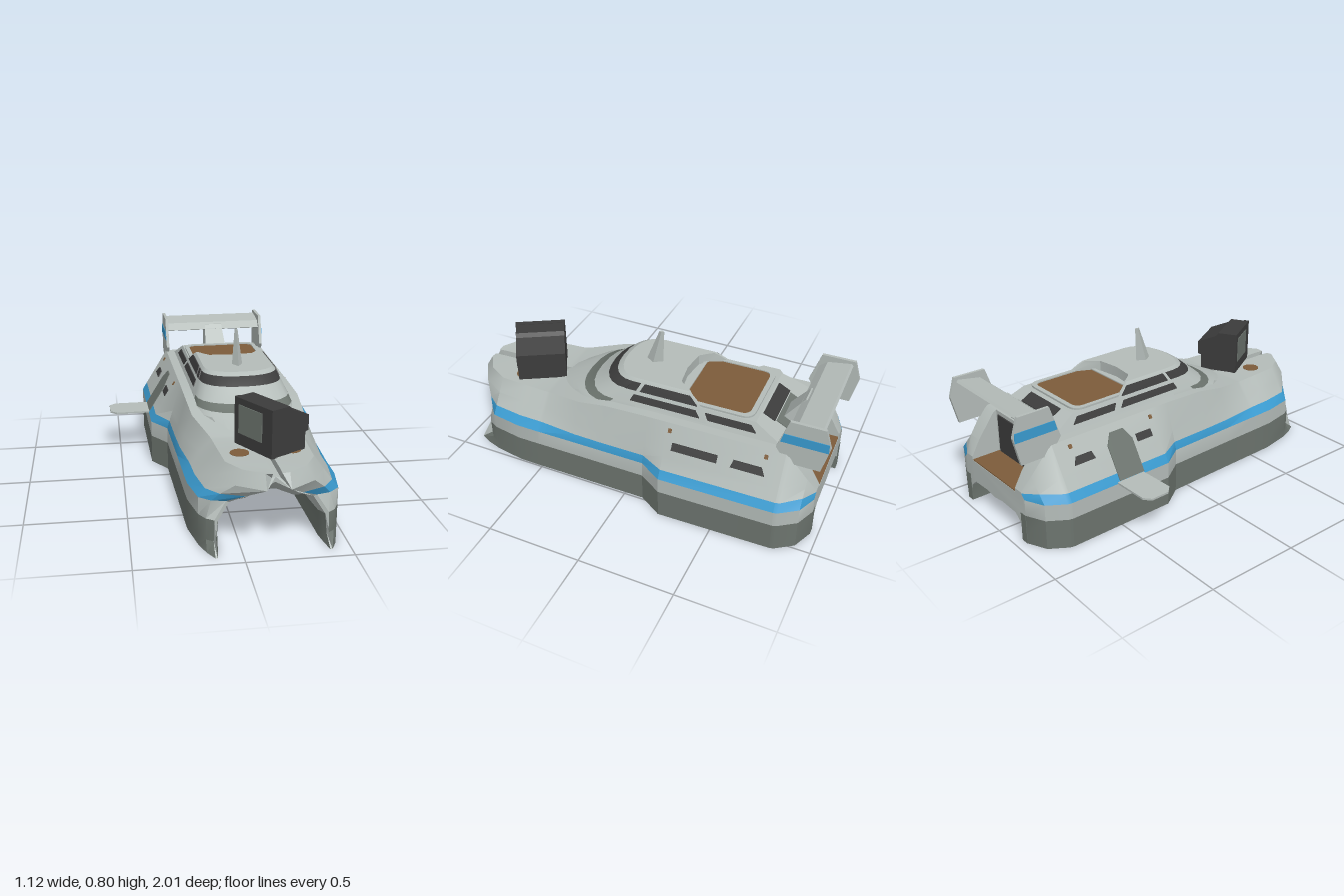
import * as THREE from 'three';
import { toCreasedNormals } from 'three/addons/utils/BufferGeometryUtils.js';

const paint = (name, color) => {
  const m = new THREE.MeshStandardMaterial({ color, side: THREE.DoubleSide });
  m.name = name;
  return m;
};

export function createModel() {
  const light = paint('light grey', 0xb4bcb9);
  const lower = paint('lower hull grey', 0x6c746e);
  const blue = paint('blue', 0x3a9bd0);
  const wood = paint('wood brown', 0x7d5c3a);
  const dark = paint('dark', 0x3c3c3c);
  const palette = [light, lower, blue, wood, dark];

  const root = new THREE.Group();
  root.name = 'catamaran';
  const boat = new THREE.Group();
  boat.name = 'boat';
  boat.position.x = 0.121;
  boat.rotation.y = 0.023;
  root.add(boat);

  // Closed loft through rings of [x, y, z]; pick(i, j) colours each face (null leaves it open), caps lie in the axes
  function loft(name, rings, pick, axes, parent = boat) {
    const pos = [], faces = [], n = rings[0].length;
    const tri = (a, b, c, m) => faces.push([a, b, c, m]);
    for (let i = 0; i < rings.length - 1; i++) {
      for (let j = 0; j < n; j++) {
        const k = (j + 1) % n, m = pick(i, j);
        tri(rings[i][j], rings[i][k], rings[i + 1][k], m);
        tri(rings[i][j], rings[i + 1][k], rings[i + 1][j], m);
      }
    }
    [0, rings.length - 1].forEach((r) => {
      const flat = rings[r].map((p) => new THREE.Vector2(p[axes[0]], p[axes[1]]));
      const forward = THREE.ShapeUtils.area(flat) > 0;
      for (const [a, b, c] of THREE.ShapeUtils.triangulateShape(flat, [])) {
        const same = (THREE.ShapeUtils.area([flat[a], flat[b], flat[c]]) > 0) === forward;
        const [q, s] = same === (r > 0) ? [b, c] : [c, b];
        tri(rings[r][a], rings[r][q], rings[r][s], pick(-1, r));
      }
    });
    // turn all faces outward
    const v = (p) => new THREE.Vector3(...p);
    const volume = faces.reduce((s, [a, b, c]) => s + v(a).dot(v(b).cross(v(c))), 0);
    const geo = new THREE.BufferGeometry();
    palette.forEach((m, index) => {
      const start = pos.length / 3;
      for (const [a, b, c, fm] of faces) {
        if (fm === m) pos.push(...a, ...(volume < 0 ? c : b), ...(volume < 0 ? b : c));
      }
      if (pos.length / 3 > start) geo.addGroup(start, pos.length / 3 - start, index);
    });
    geo.setAttribute('position', new THREE.Float32BufferAttribute(pos, 3));
    geo.computeVertexNormals();
    const mesh = new THREE.Mesh(toCreasedNormals(geo, 0.45), palette);
    mesh.name = name;
    parent.add(mesh);
    return mesh;
  }
  const mirrored = (half) => [...half, ...half.slice(1, -1).reverse().map(([x, y, z]) => [-x, y, z])];

  // Prism with a [z, y] outline between two x values
  const prism = (name, poly, x0, x1, mat, parent) =>
    loft(name, [x0, x1].map((x) => poly.map(([z, y]) => [x, y, z])), () => mat, [2, 1], parent);

  // Thin plate on a sloping side wall: x falls with y
  const sidePlate = (name, side, poly, x0, y0, slope, mat) =>
    loft(name, [-0.004, 0.005].map((o) => poly.map(([z, y]) => [side * (x0 - slope * (y - y0) + o), y, z])),
      () => mat, [2, 1]);

  // Twin hull, open below: z, half width, deck half width, deck height, well half width, well height, keel, tunnel rise
  const station = ([z, w, d, h, g, well, keel, rise = 0]) => {
    const on = (y) => w + (d - w) * (y - 0.24) / (h - 0.24);
    const low = Math.min(0.282, h - 0.005), mid = h > 0.36 ? 0.34 : (low + h) / 2;
    const inner = Math.min(0.24, w - 0.02);
    return mirrored([[0, well], [g, well], [g, h], [d, h], [on(mid), mid], [on(low), low], [w, 0.24], [w, 0.155],
      [w, 0.05], [w, 0], [inner, 0], [inner, 0.05], [inner - 0.005, 0.09 + rise / 2], [0.19, 0.13 + rise],
      [0.07 + rise / 2, 0.135 + rise], [0, keel]].map(([x, y]) => [x, y, z]));
  };
  const shoulder = mirrored([[0, 0.37, 0.87], [0.02, 0.37, 0.88], [0.021, 0.405, 0.9], [0.145, 0.405, 0.9],
    [0.18, 0.34, 0.92], [0.24, 0.282, 0.87], [0.275, 0.24, 0.845], [0.3, 0.155, 0.85], [0.3, 0.05, 0.85],
    [0.3, 0, 0.885], [0.25, 0, 0.885], [0.25, 0.05, 0.85], [0.245, 0.14, 0.84], [0.19, 0.225, 0.835],
    [0.115, 0.255, 0.85], [0, 0.31, 0.87]]);
  const bow = mirrored([[0, 0.37, 0.92], [0.02, 0.37, 0.93], [0.021, 0.402, 0.96], [0.055, 0.405, 0.96],
    [0.055, 0.34, 1], [0.13, 0.28, 0.91], [0.21, 0.24, 0.86], [0.265, 0.155, 0.875], [0.268, 0.05, 0.875],
    [0.27, 0, 0.94], [0.26, 0, 0.94], [0.258, 0.05, 0.875], [0.25, 0.145, 0.87], [0.195, 0.232, 0.855],
    [0.115, 0.272, 0.89], [0, 0.345, 0.92]]);
  const hullRings = [
    [-0.955, 0.28, 0.25, 0.27, 0.2, 0.25, 0.125],
    [-0.91, 0.38, 0.28, 0.35, 0.2, 0.25, 0.125],
    [-0.82, 0.44, 0.295, 0.47, 0.2, 0.25, 0.125],
    [-0.8, 0.445, 0.295, 0.485, 0.2, 0.25, 0.125],
    [-0.799, 0.445, 0.295, 0.485, 0.2, 0.485, 0.125],
    [-0.21, 0.447, 0.295, 0.485, 0.1, 0.485, 0.09],
    [-0.09, 0.37, 0.295, 0.485, 0.05, 0.485, 0.08],
    [0.14, 0.366, 0.295, 0.48, 0.02, 0.48, 0.06],
    [0.3, 0.363, 0.285, 0.45, 0.02, 0.45, 0.05],
    [0.5, 0.36, 0.225, 0.408, 0.02, 0.408, 0.125, 0.02],
    [0.52, 0.36, 0.222, 0.405, 0.02, 0.37, 0.132, 0.025],
    [0.64, 0.357, 0.215, 0.405, 0.02, 0.37, 0.18, 0.045],
    [0.8, 0.328, 0.205, 0.405, 0.02, 0.37, 0.27, 0.085],
  ].map(station);
  const hullBands = [light, light, light, light, light, blue, light, lower, lower, null, lower, lower,
    light, light, light];
  loft('hull', [...hullRings, shoulder, bow], (i, j) => (i < 0 ? light : hullBands[j < 15 ? j : 29 - j]), [0, 1]);

  // Cabin with raked front and a notch in the rear of the roof
  const cabinRing = ([y, hw, zf, depth, zb]) => {
    const half = [];
    for (let a = 0; a <= 6; a++) {
      const t = a / 6 * Math.PI / 2;
      half.push([hw * Math.sin(t) ** 0.85, y, zf - depth + depth * Math.max(0, Math.cos(t)) ** 0.85]);
    }
    half.push([hw, y, zb], [hw - 0.012, y, zb], [0.15, y, -0.235], [0.12, y, -0.2], [0, y, -0.185]);
    return mirrored(half);
  };
  const cabin = [[0.4, 0.21, 0.52, 0.3, -0.3], [0.45, 0.255, 0.41, 0.24, -0.36], [0.468, 0.253, 0.36, 0.21, -0.39],
    [0.496, 0.243, 0.3, 0.18, -0.38], [0.56, 0.214, 0.22, 0.16, -0.34], [0.6, 0.196, 0.17, 0.14, -0.285],
    [0.615, 0.183, 0.14, 0.13, -0.265]].map(cabinRing);
  loft('cabin', cabin, (i, j) => {
    const front = j < 6 || j > 15;
    return i === 4 && front ? dark : i === 2 && front ? lower : light;
  }, [0, 2]);

  // Rear deckhouse with sunken sun deck
  const house = (y, hw, zb) => mirrored([[0, y, 0], [hw, y, 0], [hw, y, zb], [0, y, zb]]);
  loft('rearDeckhouse', [house(0.47, 0.2545, -0.79), house(0.56, 0.214, -0.62)], () => light, [0, 2]);
  const rounded = (Type, hw, z0, z1, r) => {
    const s = new Type();
    s.moveTo(-hw + r, z0).lineTo(hw - r, z0).quadraticCurveTo(hw, z0, hw, z0 + r)
      .lineTo(hw, z1 - r).quadraticCurveTo(hw, z1, hw - r, z1).lineTo(-hw + r, z1)
      .quadraticCurveTo(-hw, z1, -hw, z1 - r).lineTo(-hw, z0 + r).quadraticCurveTo(-hw, z0, -hw + r, z0);
    return s;
  };
  const slab = (name, shape, y, t, mat) => {
    const geo = new THREE.ExtrudeGeometry(shape, { depth: t, bevelEnabled: false, curveSegments: 6 });
    const mesh = new THREE.Mesh(geo.rotateX(Math.PI / 2).translate(0, y + t, 0), mat);
    mesh.name = name;
    boat.add(mesh);
    return mesh;
  };
  const rim = rounded(THREE.Shape, 0.208, -0.6, -0.22, 0.06);
  rim.holes.push(rounded(THREE.Path, 0.185, -0.575, -0.237, 0.045));
  slab('sunDeckRim', rim, 0.555, 0.015, light);
  slab('sunDeck', rounded(THREE.Shape, 0.187, -0.577, -0.235, 0.045), 0.558, 0.006, wood);

  // Rear window and hatch on the sloping back of the deckhouse
  const backPlate = (name, z0, z1, hw, mat) => {
    const y = (z) => 0.56 + (z + 0.62) * 0.53;
    prism(name, [[z0, y(z0) - 0.003], [z1, y(z1) - 0.003], [z1, y(z1) + 0.005], [z0, y(z0) + 0.005]], -hw, hw, mat);
  };
  backPlate('rearWindow', -0.63, -0.69, 0.13, dark);
  backPlate('rearHatch', -0.695, -0.78, 0.12, lower);

  // Stern platform and door
  slab('sternFloor', rounded(THREE.Shape, 0.198, -0.953, -0.802, 0.005), 0.249, 0.007, wood);
  prism('sternDoor', [[-0.806, 0.26], [-0.799, 0.26], [-0.799, 0.465], [-0.806, 0.465]], -0.18, 0.18, dark);

  // Windows and lamps on both sides
  for (const s of [-1, 1]) {
    const cab = (name, poly) => sidePlate(name, s, poly, 0.25, 0.48, 0.45, dark);
    cab('upperFrontWindow', [[0.06, 0.562], [0.005, 0.562], [-0.015, 0.6], [0.03, 0.6]]);
    cab('upperRearWindow', [[-0.015, 0.562], [-0.32, 0.562], [-0.275, 0.6], [-0.035, 0.6]]);
    cab('lowerFrontWindow', [[0.03, 0.512], [-0.34, 0.512], [-0.315, 0.542], [0.015, 0.542]]);
    cab('lowerRearWindow', [[-0.385, 0.512], [-0.63, 0.512], [-0.6, 0.542], [-0.365, 0.542]]);
    const hullPlate = (name, poly, mat) => sidePlate(name, s, poly, 0.446, 0.24, 0.616, mat);
    const cut = s > 0 ? [-0.48, -0.55] : [-0.34, -0.6];
    hullPlate('hullFrontWindow', [[-0.245, 0.375], [cut[0], 0.375], [cut[0], 0.407], [-0.245, 0.407]], dark);
    hullPlate('hullRearWindow', [[cut[1], 0.375], [-0.72, 0.375], [-0.7, 0.407], [cut[1] - 0.01, 0.407]], dark);
    for (const z of [-0.22, -0.71]) {
      hullPlate('lamp', [[z - 0.009, 0.446], [z + 0.009, 0.446], [z + 0.009, 0.462], [z - 0.009, 0.462]], wood);
    }
    // Lower paint on the stern of each hull
    prism('sternPaint', [[-0.957, 0], [-0.953, 0], [-0.953, 0.155], [-0.957, 0.155]], s * 0.239, s * 0.281, lower);
    // Foredeck hatch
    const hatch = new THREE.Mesh(new THREE.CylinderGeometry(0.046, 0.046, 0.004, 12), wood);
    hatch.name = 'foredeckHatch';
    hatch.position.set(s * 0.122, 0.405, 0.71);
    boat.add(hatch);
    // Wing end plate with stripe
    prism('wingEndPlate', [[-0.8, 0.68], [-0.97, 0.68], [-1, 0.58], [-0.965, 0.435], [-0.8, 0.435], [-0.745, 0.515]],
      s * 0.28, s * 0.296, light);
    prism('endPlateStripe', [[-0.777, 0.605], [-0.992, 0.605], [-0.993, 0.555], [-0.763, 0.555]],
      s * 0.294, s * 0.299, blue);
  }

  // Side boarding door with fold-down platform
  sidePlate('sideDoor', -1, [[-0.365, 0.25], [-0.515, 0.25], [-0.515, 0.4], [-0.48, 0.45], [-0.4, 0.45], [-0.365, 0.4]],
    0.446, 0.24, 0.616, lower);
  const ramp = new THREE.Shape([[-0.665, -0.5], [-0.63, -0.53], [-0.35, -0.53], [-0.33, -0.5], [-0.34, -0.37],
    [-0.63, -0.365], [-0.665, -0.4]].map(([x, z]) => new THREE.Vector2(x, z)));
  slab('boardingPlatform', ramp, 0.237, 0.01, light);

  // Rear wing and its swept pylon
  prism('wing', [[-0.79, 0.61], [-0.83, 0.645], [-0.95, 0.665], [-0.96, 0.655], [-0.88, 0.62], [-0.82, 0.6]],
    -0.284, 0.284, light);
  const box = (y, hw, z0, z1) => [[-hw, y, z0], [hw, y, z0], [hw, y, z1], [-hw, y, z1]];
  loft('wingPylon', [box(0.48, 0.065, -0.69, -0.785), box(0.635, 0.05, -0.81, -0.91)], () => light, [0, 2]);

  // Mast fin
  const diamond = (y, hw, z0, z1) => [[0, y, z0], [hw, y, (z0 + z1) / 2], [0, y, z1], [-hw, y, (z0 + z1) / 2]];
  loft('mastFin', [diamond(0.61, 0.028, 0.04, -0.05), diamond(0.795, 0.008, -0.03, -0.056)], () => light, [0, 2]);

  // Old monitor standing askew on the foredeck, screen facing local -z
  const monitor = new THREE.Group();
  monitor.name = 'monitor';
  monitor.position.set(0.086, 0.405, 0.695);
  monitor.rotation.y = Math.atan2(0.865, -0.5);
  root.add(monitor);
  prism('monitorCase', [[0, 0], [0, 0.23], [0.1, 0.23], [0.115, 0.21], [0.22, 0.165], [0.22, 0.09], [0.2, 0.085], [0.2, 0]],
    -0.128, 0.128, dark, monitor);
  prism('monitorBezel', [[-0.008, 0], [-0.008, 0.232], [0.02, 0.232], [0.02, 0]], -0.132, 0.132, dark, monitor);
  prism('monitorScreen', [[-0.012, 0.06], [-0.012, 0.2], [-0.006, 0.2], [-0.006, 0.06]], -0.065, 0.1, lower, monitor);
  return root;
}
